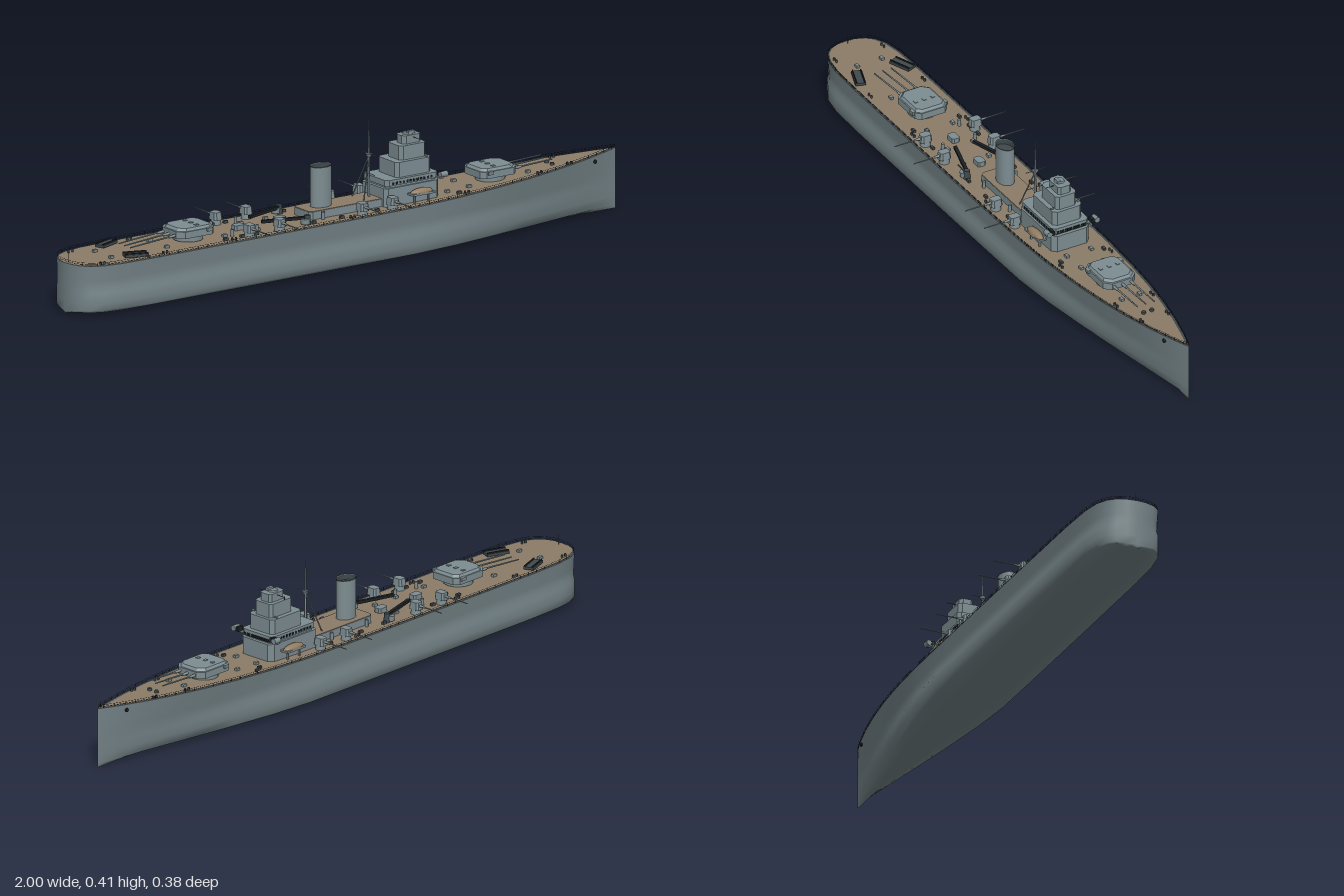
import * as THREE from 'three';
import { mergeGeometries, toCreasedNormals } from 'three/addons/utils/BufferGeometryUtils.js';

const mat = (name, color, side = THREE.FrontSide) => {
  const m = new THREE.MeshStandardMaterial({ color, side });
  m.name = name;
  return m;
};

export function createModel() {
  const ship = new THREE.Group();
  ship.name = 'warship';
  const hullGrey = mat('hullGrey', 0x748387, THREE.DoubleSide);
  const lightGrey = mat('lightGrey', 0x7d8d92, THREE.DoubleSide);
  const steel = mat('darkSteel', 0x40494d, THREE.DoubleSide);
  const black = mat('nearBlack', 0x1d2124);
  const wood = mat('deckWood', 0x8b7c67, THREE.DoubleSide);
  const tan = mat('boatTan', 0x927b60);
  const add = (name, geo, m, x = 0, y = 0, z = 0, parent = ship) => {
    const mesh = new THREE.Mesh(geo, m);
    mesh.name = name;
    mesh.position.set(x, y, z);
    parent.add(mesh);
    return mesh;
  };
  const box = (w, h, d) => new THREE.BoxGeometry(w, h, d);
  const cyl = (r0, r1, h, n = 16, open = false) => new THREE.CylinderGeometry(r0, r1, h, n, 1, open);
  // round bar between two points
  const rod = (a, b, r, r2 = r, n = 6) => {
    const p = new THREE.Vector3(...a), q = new THREE.Vector3(...b), d = q.clone().sub(p);
    const g = new THREE.CylinderGeometry(r2, r, d.length(), n);
    g.applyQuaternion(new THREE.Quaternion().setFromUnitVectors(new THREE.Vector3(0, 1, 0), d.normalize()));
    return g.translate(...p.add(q).multiplyScalar(0.5).toArray());
  };
  // eight-sided block with chamfered corners, optionally narrower on top
  const block = (x0, x1, hz, y0, y1, cf, cb = cf, top = 1) => {
    const pts = [[x0 + cb, -hz], [x1 - cf, -hz], [x1, -hz + cf], [x1, hz - cf],
      [x1 - cf, hz], [x0 + cb, hz], [x0, hz - cb], [x0, -hz + cb]];
    const g = new THREE.ExtrudeGeometry(new THREE.Shape(pts.map(p => new THREE.Vector2(...p))),
      { depth: y1 - y0, bevelEnabled: false });
    g.rotateX(-Math.PI / 2).translate(0, y0, 0);
    const p = g.attributes.position, c = (x0 + x1) / 2;
    for (let i = 0; i < p.count; i++) if (p.getY(i) > (y0 + y1) / 2) {
      p.setX(i, c + (p.getX(i) - c) * top);
      p.setZ(i, p.getZ(i) * top);
    }
    g.computeVertexNormals();
    return g;
  };

  // hull lines: station x, half width at the deck edge
  const plan = [[-1, 0], [-0.997, 0.03], [-0.985, 0.061], [-0.965, 0.083], [-0.93, 0.1], [-0.87, 0.11],
    [-0.75, 0.114], [-0.4, 0.115], [0, 0.115], [0.2, 0.114], [0.35, 0.11], [0.5, 0.1], [0.62, 0.087],
    [0.74, 0.068], [0.84, 0.047], [0.92, 0.026], [0.97, 0.011], [1, 0.0005]];
  const halfWidth = x => {
    const i = Math.max(1, plan.findIndex(s => s[0] >= x));
    const [a, b] = [plan[i - 1], plan[i]];
    return a[1] + (b[1] - a[1]) * (x - a[0]) / (b[0] - a[0]);
  };
  const deckY = x => 0.155 + 0.03 * Math.pow(Math.max(0, (x - 0.1) / 0.9), 1.5);
  const strip = rows => {
    const n = rows[0].length, idx = [];
    for (let i = 0; i < rows.length - 1; i++) for (let j = 0; j < n - 1; j++) {
      const a = i * n + j, b = a + n;
      idx.push(a, a + 1, b, b, a + 1, b + 1);
    }
    const g = new THREE.BufferGeometry();
    g.setAttribute('position', new THREE.Float32BufferAttribute(rows.flat(2), 3));
    g.setIndex(idx);
    g.computeVertexNormals();
    return g;
  };

  // hull cross-section: width factor, height; lower part pinches in toward the bow
  const section = [[0, 0], [0.5, 0.006], [0.96, 0.012], [0.995, 0.018], [1.01, 0.04], [1.005, 0.07], [0.95, 0.085], [0.965, 0.11], [1, 1]];
  const hullRows = plan.map(([x, w]) => {
    const t = Math.max(0, (x - 0.25) / 0.75);
    const half = section.map(([f, y]) => {
      const low = y > 0.5 ? 0 : 1 - y / 0.16;
      return [x, y > 0.5 ? deckY(x) : y, w * f * (1 - 0.6 * t * low)];
    });
    return [...half.slice().reverse(), ...half.slice(1).map(([a, b, c]) => [a, b, -c])];
  });
  add('hull', toCreasedNormals(strip(hullRows), 1.2), hullGrey);
  add('deck', strip(plan.map(([x, w]) => [[x, deckY(x), -w], [x, deckY(x), w]])), wood);

  // dark gutter and railing along each deck edge
  const railParts = [];
  for (const s of [1, -1]) {
    const edge = plan.map(([x, w]) => [w, Math.max(0, w - 0.008)].map(z => [x, deckY(x) + 0.001, s * z]));
    add('deckEdge', strip(edge.map(r => s > 0 ? r.reverse() : r)), steel);
    for (const h of [0.005, 0.01]) {
      const path = new THREE.CatmullRomCurve3(plan.map(([x, w]) => new THREE.Vector3(x * 0.998, deckY(x) + h, s * w * 0.985)));
      railParts.push(new THREE.TubeGeometry(path, 80, 0.0005, 4));
    }
    for (let x = -0.98; x < 0.99; x += 0.035) {
      const z = s * halfWidth(x) * 0.985;
      railParts.push(rod([x, deckY(x), z], [x, deckY(x) + 0.01, z], 0.0006, 0.0006, 4));
    }
    // hawse holes
    const hawse = add('hawseHole', cyl(0.006, 0.006, 0.006, 10), black, 0.905, 0.163, s * 0.0295);
    hawse.rotation.x = Math.PI / 2;
  }
  add('railings', mergeGeometries(railParts), black);
  add('jackStaff', rod([0.985, 0.18, 0], [0.985, 0.205, 0], 0.001), steel);
  add('ensignStaff', rod([-0.985, 0.155, 0], [-0.985, 0.185, 0], 0.001), steel);

  // triple-gun main turrets
  const turret = (x, y, dir, tipX, tipY) => {
    const g = new THREE.Group();
    g.name = 'mainTurret';
    g.position.set(x, y, 0);
    if (dir < 0) g.rotation.y = Math.PI;
    add('barbette', cyl(0.045, 0.045, 0.02, 24), lightGrey, 0, 0.006, 0, g);
    add('gunHouse', block(-0.065, 0.068, 0.055, 0.013, 0.034, 0.02, 0.015), lightGrey, 0, 0, 0, g);
    add('gunHouseRoof', block(-0.062, 0.062, 0.051, 0.034, 0.042, 0.02, 0.015, 0.9), lightGrey, 0, 0, 0, g);
    add('rangefinder', box(0.018, 0.01, 0.122), lightGrey, -0.038, 0.03, 0, g);
    for (const z of [-0.029, 0, 0.029]) {
      add('gunSleeve', rod([0.05, 0.023, z], [0.09, 0.022 + (tipY - 0.022) * 0.2, z], 0.005, 0.004, 10), lightGrey, 0, 0, 0, g);
      add('gunBarrel', rod([0.06, 0.023, z], [tipX, tipY, z], 0.003, 0.002, 8), lightGrey, 0, 0, 0, g);
      add('roofHatch', box(0.012, 0.002, 0.01), lightGrey, -0.01, 0.043, z, g);
    }
    ship.add(g);
  };
  turret(0.545, 0.168, 1, 0.205, 0.028);
  turret(-0.552, 0.161, -1, 0.23, 0.01);

  // midships deckhouse with wooden top
  add('deckhouse', block(-0.14, 0.14, 0.045, 0.15, 0.178, 0.01), lightGrey);
  add('deckhouseTop', block(-0.139, 0.139, 0.044, 0.178, 0.18, 0.01), wood);

  // bridge tower tiers: x0, x1, half width, y0, y1, front chamfer
  for (const [x0, x1, hz, y0, y1, c] of [[0.12, 0.32, 0.064, 0.15, 0.212, 0.014], [0.125, 0.315, 0.062, 0.218, 0.236, 0.01],
    [0.13, 0.31, 0.058, 0.212, 0.218, 0.01], [0.17, 0.3, 0.05, 0.236, 0.282, 0.012], [0.195, 0.29, 0.035, 0.282, 0.325, 0.009],
    [0.215, 0.28, 0.022, 0.325, 0.35, 0.007]])
    add('bridgeTier', block(x0, x1, hz, y0, y1, c, 0.01), lightGrey);
  // bridge windows
  for (let i = -5; i <= 5; i++) add('bridgeWindow', box(0.003, 0.009, 0.0075), black, 0.315, 0.222, i * 0.0092);
  for (const s of [1, -1]) for (let i = 0; i < 12; i++)
    add('sideWindow', box(0.007, 0.007, 0.003), black, 0.15 + i * 0.0125, 0.225, s * 0.062);

  // director, rangefinder and small bridge fittings
  add('directorBase', cyl(0.014, 0.016, 0.004, 16), lightGrey, 0.245, 0.352, 0);
  add('directorHead', box(0.024, 0.009, 0.01), lightGrey, 0.25, 0.356, 0.009);
  add('rangefinderArm', rod([0.25, 0.343, -0.051], [0.25, 0.343, 0.051], 0.001), steel);
  for (const s of [1, -1]) {
    add('searchlightArm', box(0.014, 0.004, 0.03), lightGrey, 0.31, 0.222, s * 0.07);
    add('searchlight', rod([0.305, 0.232, s * 0.082], [0.329, 0.232, s * 0.082], 0.008, 0.009, 14), lightGrey);
    add('searchlightMotor', box(0.02, 0.014, 0.009), black, 0.317, 0.232, s * 0.068);
    add('lookoutPost', rod([0.275, 0.282, s * 0.012], [0.275, 0.291, s * 0.012], 0.003), steel);
    add('wingGun', rod([0.28, 0.286, s * 0.04], [0.28, 0.287, s * 0.05], 0.003), lightGrey);
    // upturned boats on cradles
    const boat = add('boat', new THREE.SphereGeometry(1, 16, 8, 0, Math.PI * 2, 0, Math.PI / 2), tan, 0.24, 0.189, s * 0.079);
    boat.scale.set(0.04, 0.013, 0.015);
    add('boatDeck', box(0.08, 0.006, 0.03), lightGrey, 0.24, 0.186, s * 0.078);
    for (const x of [0.215, 0.265]) add('boatCradle', box(0.004, 0.03, 0.006), lightGrey, x, 0.17, s * 0.079);
  }
  add('bridgeAntenna', rod([0.23, 0.325, -0.033], [0.23, 0.335, -0.033], 0.002), steel);

  // funnel with a recessed dark grating
  const funnel = new THREE.Group();
  funnel.name = 'funnel';
  funnel.position.set(-0.07, 0, 0);
  funnel.scale.z = 0.75;
  add('funnelCasing', cyl(0.034, 0.034, 0.128, 24, true), lightGrey, 0, 0.24, 0, funnel);
  add('funnelRim', cyl(0.035, 0.035, 0.004, 24, true), steel, 0, 0.303, 0, funnel);
  add('funnelLining', cyl(0.033, 0.033, 0.12, 24, true), steel, 0, 0.243, 0, funnel);
  add('funnelGrating', cyl(0.033, 0.033, 0.004, 24), steel, 0, 0.285, 0, funnel);
  ship.add(funnel);

  // tripod mast with yards
  add('mastPole', rod([0.105, 0.16, 0], [0.105, 0.38, 0], 0.004, 0.0025, 8), lightGrey);
  add('topMast', rod([0.105, 0.375, 0], [0.105, 0.41, 0], 0.0012), lightGrey);
  for (const s of [1, -1]) add('mastLeg', rod([0.065, 0.178, s * 0.03], [0.105, 0.305, 0], 0.002), lightGrey);
  for (const [y, l] of [[0.25, 0.03], [0.31, 0.033]])
    add('mastYard', rod([0.105, y, -l], [0.105, y, l], 0.0013), lightGrey);
  add('mastTop', cyl(0.01, 0.007, 0.008, 10), lightGrey, 0.105, 0.306, 0);

  // secondary guns, cranes and stern equipment on both sides
  for (const s of [1, -1]) {
    for (const x of [-0.39, -0.28, 0.02, 0.13]) {
      add('secondaryBase', cyl(0.014, 0.016, 0.016, 14), lightGrey, x, 0.162, s * 0.085);
      const shield = add('secondaryShield', block(-0.018, 0.02, 0.015, 0, 0.023, 0.006, 0.006, 0.85), lightGrey, x, 0.17, s * 0.085);
      shield.rotation.y = -s * Math.PI / 2;
      add('secondarySleeve', rod([x, 0.182, s * 0.1], [x, 0.182, s * 0.125], 0.005, 0.0025, 8), lightGrey);
      add('secondaryBarrel', rod([x, 0.182, s * 0.12], [x, 0.182, s * 0.19], 0.0022, 0.0015, 8), lightGrey);
    }
    const crane = add('craneJib', box(0.15, 0.009, 0.01), black, -0.235, 0.175, s * 0.052);
    crane.rotation.y = -s * 0.28;
    add('cranePost', cyl(0.009, 0.011, 0.03, 12), steel, -0.17, 0.168, s * 0.072);
    const rack = add('sternRack', box(0.072, 0.008, 0.032), steel, -0.795, 0.163, s * 0.075);
    rack.rotation.y = -s * 0.35;
    for (const k of [-1, 1]) add('rackRail', box(0.072, 0.004, 0.003), black, 0, 0.006, k * 0.012, rack);
    add('lightGunTub', cyl(0.014, 0.013, 0.016, 14), lightGrey, -0.18, 0.166, s * 0.075);
    add('lightGun', rod([-0.18, 0.174, s * 0.075], [-0.205, 0.186, s * 0.082], 0.002), steel);
    // bollards, vents and hatches down the deck
    for (const x of [-0.92, -0.7, -0.45, -0.02, 0.4, 0.68, 0.8])
      for (const k of [-0.007, 0.007])
        add('bollard', cyl(0.0035, 0.0035, 0.008, 8), steel, x + k, deckY(x) + 0.004, s * halfWidth(x) * 0.8);
    for (const x of [-0.86, -0.66, -0.45, -0.33, -0.24, 0.36, 0.44, 0.66])
      add('hatch', box(0.014, 0.008, 0.01), lightGrey, x, deckY(x) + 0.004, s * halfWidth(x) * 0.38);
    for (const x of [-0.43, -0.34, -0.1, 0.05])
      add('ventilator', cyl(0.005, 0.005, 0.022, 10), lightGrey, x, deckY(x) + 0.011, s * 0.055);
    for (const x of [-0.47, -0.41, -0.36, -0.15, -0.05, 0.08, 0.38])
      add('deckLocker', box(0.014, 0.008, 0.008), steel, x, deckY(x) + 0.004, s * halfWidth(x) * 0.68);
    add('capstan', cyl(0.006, 0.007, 0.01, 12), steel, 0.76, 0.176, s * 0.014);
  }
  for (const x of [-0.37, -0.22])
    add('skylight', block(x - 0.018, x + 0.018, 0.013, 0.15, 0.17, 0.005), lightGrey);
  return ship;
}
